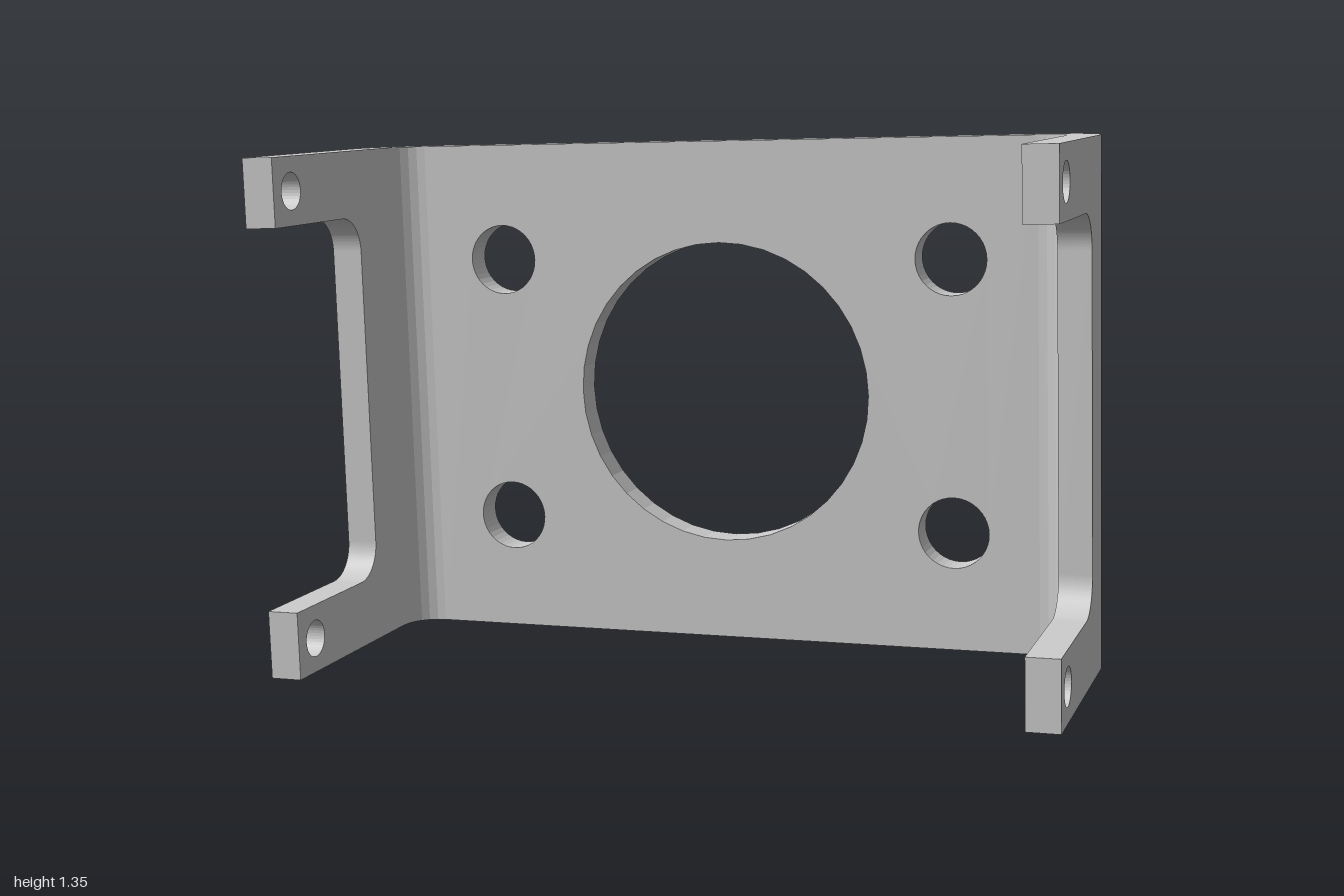
import * as THREE from 'three';

const W = 1.962, H = 1.286, ZB = -0.365, ZF = 0.365; // overall size before tilting
const T = 0.08, R = 0.165;                           // sheet thickness, outer bend radius
const ZBEND = ZB + R, XBEND = W / 2 - R;             // where the bends meet the flat parts

const mat = new THREE.MeshStandardMaterial({ color: 0xcccccc, flatShading: true });

function hole(x, y, r) {
  return new THREE.Path().absarc(x, y, r, 0, Math.PI * 2, true);
}

function extrude(shape, depth) {
  return new THREE.ExtrudeGeometry(shape, { depth, bevelEnabled: false, curveSegments: 20 });
}

// Remove the hidden faces where two parts join, lying on the plane axis = value
function openSeam(geo, axis, value) {
  const p = geo.attributes.position, keep = [];
  for (let i = 0; i < p.count; i += 3) {
    const onSeam = [0, 1, 2].every(k => Math.abs(p.getComponent(i + k, axis) - value) < 1e-4);
    if (!onSeam) for (let k = 0; k < 3; k++) keep.push(p.getX(i + k), p.getY(i + k), p.getZ(i + k));
  }
  const out = new THREE.BufferGeometry();
  out.setAttribute('position', new THREE.Float32BufferAttribute(keep, 3));
  out.computeVertexNormals();
  return out;
}

// Flat back plate with the large bore and four mounting holes
function backPlate() {
  const s = new THREE.Shape();
  s.moveTo(-XBEND, -H / 2).lineTo(XBEND, -H / 2).lineTo(XBEND, H / 2).lineTo(-XBEND, H / 2).closePath();
  s.holes.push(hole(0, 0, 0.386));
  for (const x of [-0.6, 0.6]) for (const y of [-0.343, 0.343]) s.holes.push(hole(x, y, 0.09));
  const g = extrude(s, T).translate(0, 0, ZB);
  return openSeam(openSeam(g, 0, XBEND), 0, -XBEND);
}

// Quarter-round bend between back plate and side wall
function bend(side) {
  const n = 6, pts = [];
  const add = (r, i) => {
    const a = (i / n) * Math.PI / 2;
    pts.push(new THREE.Vector2(side * (XBEND + r * Math.cos(a)), -ZBEND + r * Math.sin(a)));
  };
  for (let i = 0; i <= n; i++) add(R, i);
  for (let i = n; i >= 0; i--) add(R - T, i);
  const g = extrude(new THREE.Shape(pts), H).rotateX(-Math.PI / 2).translate(0, -H / 2, 0);
  return openSeam(openSeam(g, 0, side * XBEND), 2, ZBEND);
}

// Side wall cut out to leave an upper and a lower arm, each with a cross hole
function sideWall(side) {
  const y = H / 2 - 0.17, z = -0.063, r = 0.09;
  const s = new THREE.Shape();
  s.moveTo(ZBEND, -H / 2).lineTo(ZF, -H / 2).lineTo(ZF, -y);
  s.absarc(z + r, -y + r, r, -Math.PI / 2, -Math.PI, true);
  s.absarc(z + r, y - r, r, Math.PI, Math.PI / 2, true);
  s.lineTo(ZF, y).lineTo(ZF, H / 2).lineTo(ZBEND, H / 2).closePath();
  for (const v of [-1, 1]) s.holes.push(hole(0.28, v * (H / 2 - 0.085), 0.046));
  const g = extrude(s, T).rotateY(-Math.PI / 2).translate(side > 0 ? W / 2 : -W / 2 + T, 0, 0);
  return openSeam(g, 2, ZBEND);
}

export function createModel() {
  const model = new THREE.Group();
  model.name = 'mountingBracket';
  const body = new THREE.Group();
  body.name = 'bracketBody';
  const add = (name, geo) => {
    const m = new THREE.Mesh(geo, mat);
    m.name = name;
    body.add(m);
  };
  add('backPlate', backPlate());
  for (const [label, side] of [['left', 1], ['right', -1]]) {
    add(label + 'Bend', bend(side));
    add(label + 'SideWall', sideWall(side));
  }
  // The whole bracket leans slightly
  body.rotation.z = 0.0305;
  body.position.y = 0.673;
  model.add(body);
  return model;
}
